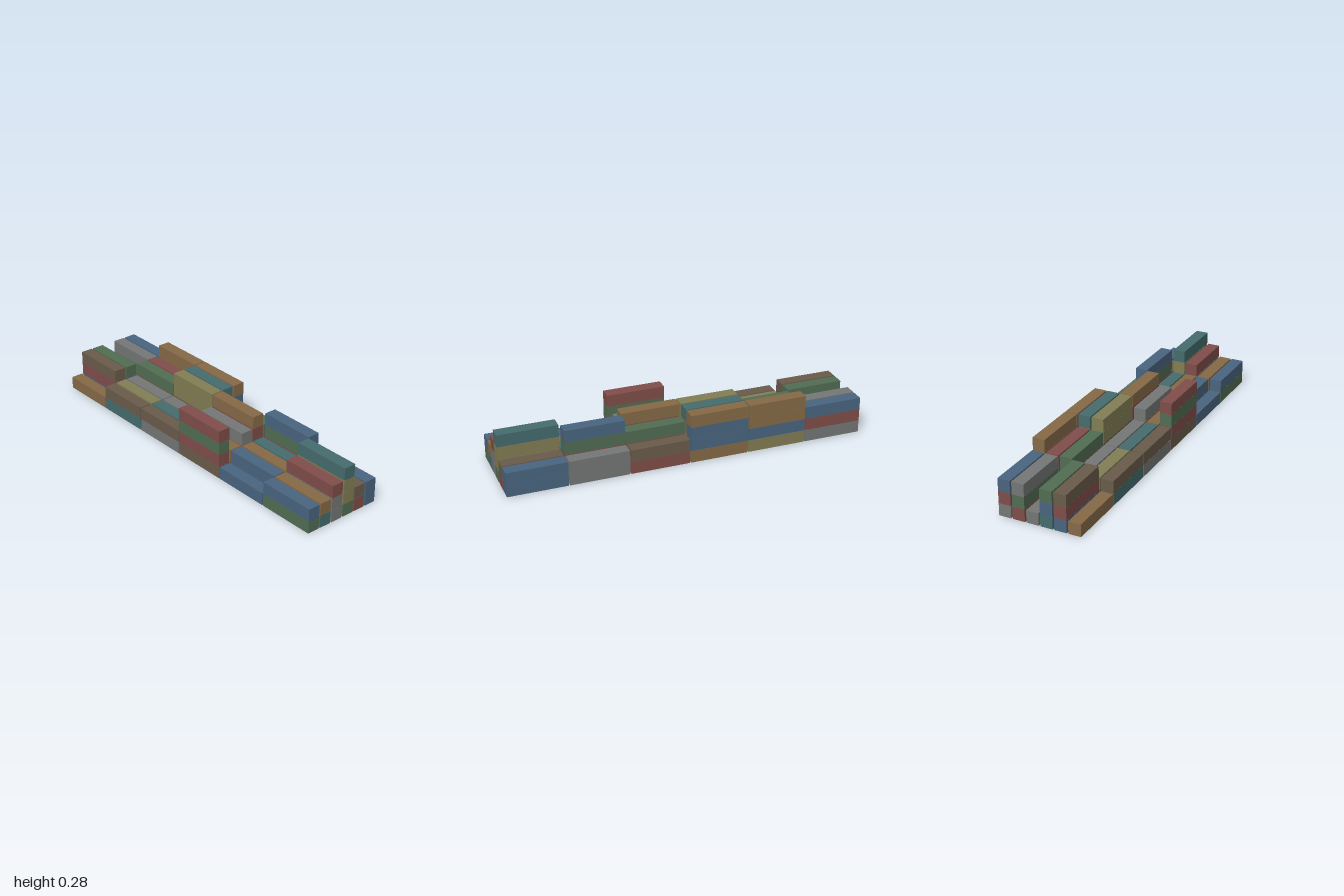
import * as THREE from 'three';

// Stacked cargo boxes: 6 bays along x, 6 rows along z.
const COLORS = {
  b: 0x4a6580, o: 0x876a47, n: 0x6a5c4b, v: 0x827e54,
  g: 0x526d53, t: 0x466c6e, r: 0x804e4a, s: 0x757776,
};

// Rows from front to back, bays from -x to +x; each word lists colours bottom to top.
const ROWS = [
  'o tn sn nrgr b gb',
  'brn tv gt no bb to',
  'tbg gs rs bos no ssr',
  's rng bnvv gtro rt gvvt',
  'rgs btr nvot brg nrgb rn',
  'srb vboo obbo rn ss bb',
];

const LENGTH = 0.328, HEIGHT = 0.0687, WIDTH = 0.069;
const PITCH_X = 0.3344, PITCH_Y = 0.0693, PITCH_Z = 0.0776;

export function createModel() {
  const model = new THREE.Group();
  model.name = 'containerStacks';
  const box = new THREE.BoxGeometry(LENGTH, HEIGHT, WIDTH);
  const materials = {};
  for (const key in COLORS) {
    materials[key] = new THREE.MeshStandardMaterial({ color: COLORS[key] });
  }

  ROWS.forEach((row, r) => {
    row.split(' ').forEach((stack, c) => {
      // One stack of containers
      const group = new THREE.Group();
      group.name = `stackRow${r + 1}Bay${c + 1}`;
      group.position.set((c - 2.5) * PITCH_X, 0, (2.5 - r) * PITCH_Z);
      [...stack].forEach((key, level) => {
        const container = new THREE.Mesh(box, materials[key]);
        container.name = `container${level + 1}`;
        container.position.y = HEIGHT / 2 + level * PITCH_Y;
        group.add(container);
      });
      model.add(group);
    });
  });
  return model;
}
